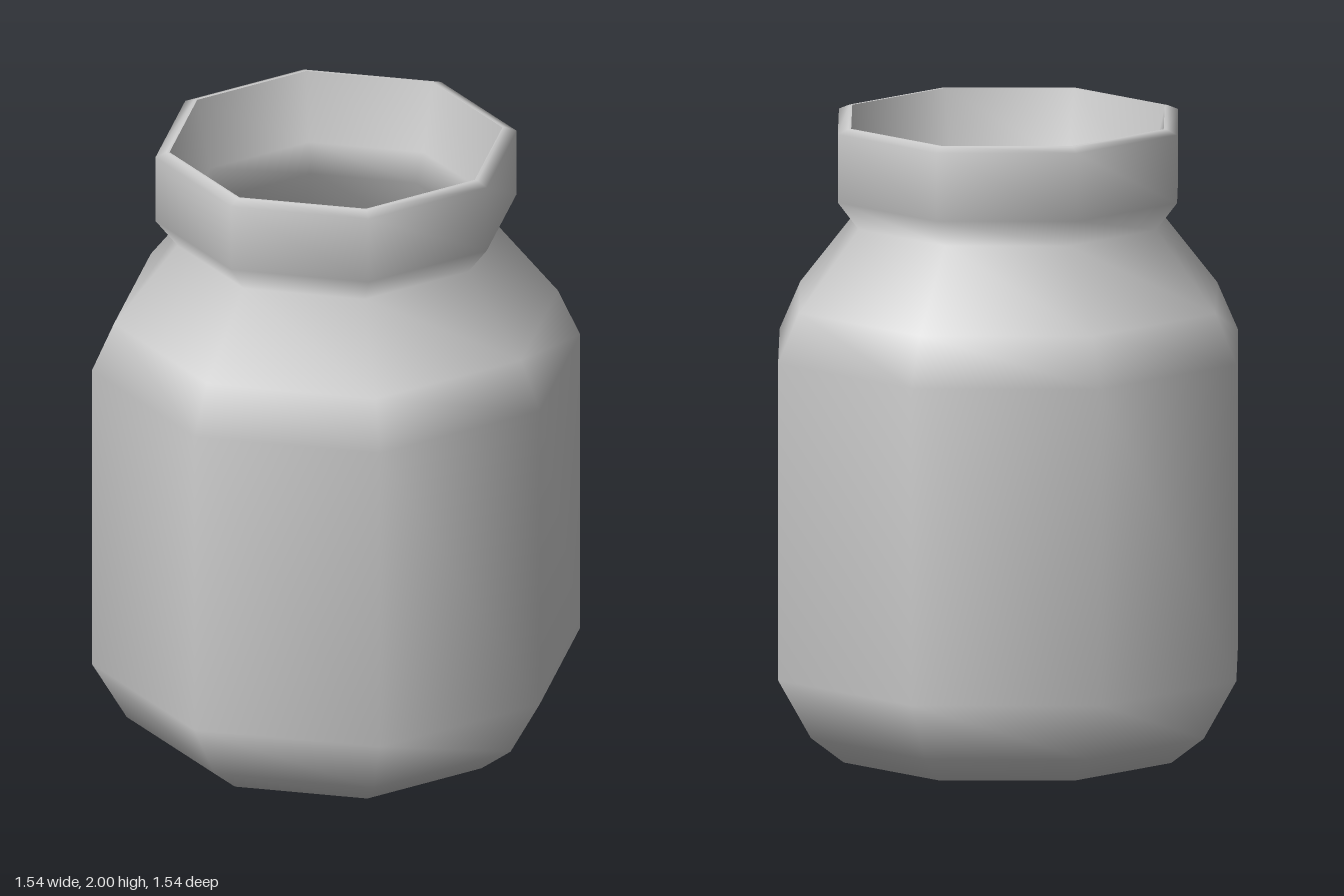
import * as THREE from 'three';

const SIDES = 8;

export function createModel() {
  const group = new THREE.Group();
  group.name = 'jar';
  const material = new THREE.MeshStandardMaterial({ color: 0xcccccc });

  // Outer wall, from the base centre up to the rim
  const outer = [
    [0, 0], [0.55, 0], [0.66, 0.085], [0.77, 0.275], [0.77, 1.275],
    [0.7, 1.43], [0.5, 1.68], [0.57, 1.77], [0.57, 1.985], [0.535, 2],
  ];
  // Inner wall, from the rim down to the floor of the hollow
  const inner = [
    [0.525, 2], [0.475, 1.78], [0.435, 1.69], [0.64, 1.4], [0.705, 1.26],
    [0.705, 0.29], [0.61, 0.13], [0.52, 0.065], [0, 0.065],
  ];

  const lathe = (name, profile) => {
    const points = profile.map(([r, y]) => new THREE.Vector2(r, y));
    const mesh = new THREE.Mesh(new THREE.LatheGeometry(points, SIDES), material);
    mesh.name = name;
    group.add(mesh);
  };

  lathe('outerWall', [...outer, inner[0]]);
  lathe('innerWall', inner);
  return group;
}
